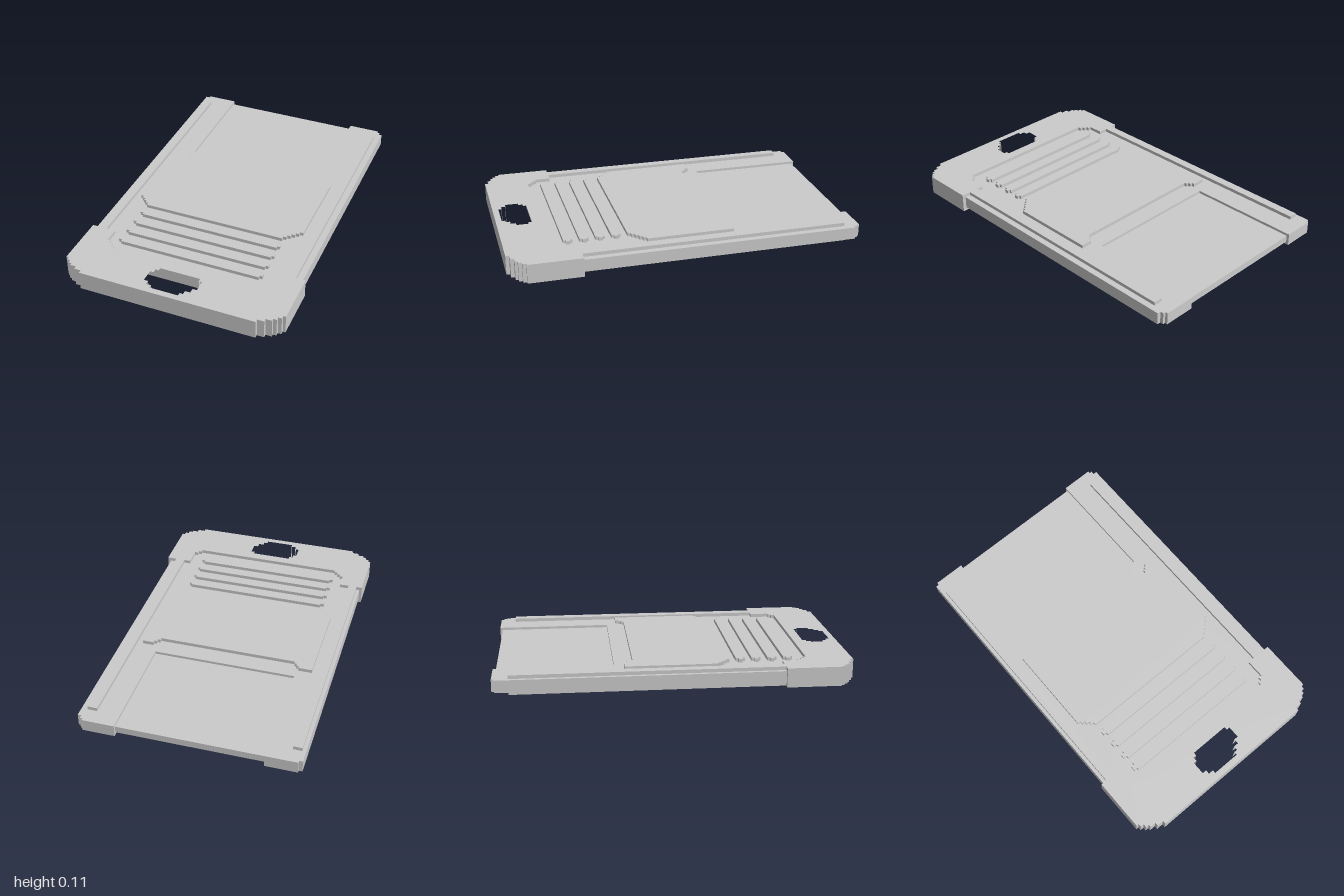
import * as THREE from 'three';

const material = new THREE.MeshStandardMaterial({ color: 0xcccccc, flatShading: true });

// joins [x, z] points with right-angled steps, moving in x first
function stairs(points) {
  const out = [points[0]];
  for (let i = 1; i < points.length; i++) {
    const [px, pz] = points[i - 1], [x, z] = points[i];
    if (px !== x && pz !== z) out.push([x, pz]);
    out.push([x, z]);
  }
  return out;
}

// evenly spaced points on a slanted corner
function slant(a, b, n) {
  return Array.from({ length: n + 1 }, (_, i) => [
    a[0] + (b[0] - a[0]) * i / n, a[1] + (b[1] - a[1]) * i / n]);
}

const toVectors = (points) => points.map(([x, z]) => new THREE.Vector2(x, -z));

// flat plate from a plan outline, between two heights
function plate(name, outline, y0, y1, hole) {
  const shape = new THREE.Shape(toVectors(outline));
  if (hole) shape.holes.push(new THREE.Path(toVectors(hole)));
  const geometry = new THREE.ExtrudeGeometry(shape, { depth: y1 - y0, bevelEnabled: false });
  geometry.rotateX(-Math.PI / 2);
  geometry.translate(0, y0, 0);
  const mesh = new THREE.Mesh(geometry, material);
  mesh.name = name;
  return mesh;
}

const rect = (x0, x1, z0, z1) => [[x0, z0], [x1, z0], [x1, z1], [x0, z1]];

export function createModel() {
  const group = new THREE.Group();
  group.name = 'flatCase';
  const TOP = 0.11;

  // core plate with an open window at the back
  group.add(plate('corePlate', [
    [-0.425, -1], [-0.425, -0.335], [0.4, -0.335], [0.4, -1],
    [0.585, -1], [0.585, -0.985], [0.6, -0.985], [0.6, -0.965], [0.62, -0.965],
    [0.62, 0.65], [0.52, 0.78], [-0.52, 0.78], [-0.625, 0.65],
    [-0.625, -0.985], [-0.605, -0.985], [-0.605, -1],
  ], 0.02, 0.09));

  // thin floor set in the window
  group.add(plate('windowFloor', rect(-0.44, 0.415, -0.985, -0.32), 0.035, 0.075));

  // handle with stepped corners, a notch and a strap hole
  const corner = [[0.64, 0.905], [0.625, 0.925], [0.605, 0.945], [0.585, 0.96], [0.55, 0.98], [0.51, 1]];
  const left = stairs(corner);
  const right = left.map(([x, z]) => [-x, z]).reverse();
  const handle = [
    [0.64, 0.6], ...left, ...right, [-0.64, 0.6], [-0.5, 0.6],
    ...stairs(slant([-0.5, 0.69], [-0.44, 0.745], 3)),
    ...stairs(slant([0.43, 0.745], [0.49, 0.69], 3)),
    [0.49, 0.6],
  ];
  const hole = stairs([
    [-0.12, 0.8], [0.1, 0.8], [0.115, 0.82], [0.135, 0.845], [0.135, 0.89],
    [0.11, 0.92], [0.08, 0.945], [0.06, 0.965], [-0.08, 0.965],
    [-0.105, 0.945], [-0.135, 0.92], [-0.16, 0.89], [-0.16, 0.845],
    [-0.14, 0.82], [-0.12, 0.8],
  ]).slice(0, -1);
  group.add(plate('handle', handle, 0, TOP, hole));

  // long rails on both faces
  group.add(plate('rightRail', rect(-0.605, -0.555, -0.91, 0.61), 0, TOP));
  group.add(plate('leftRail', rect(0.53, 0.585, -0.91, 0.61), 0, TOP));

  // raised centre panel with stepped corners
  group.add(plate('centrePanel', [
    [-0.515, -0.28],
    ...stairs(slant([-0.45, -0.28], [-0.405, -0.23], 3)),
    ...stairs(slant([0.385, -0.23], [0.43, -0.28], 3)),
    [0.495, -0.28],
    ...stairs(slant([0.495, 0.22], [0.4, 0.31], 5)),
    ...stairs(slant([-0.425, 0.31], [-0.515, 0.22], 5)),
  ], 0, TOP));

  // grip ridges with small stepped ends
  for (let i = 0; i < 4; i++) {
    const z = 0.375 + i * 0.09, h = 0.026, s = 0.012;
    group.add(plate('gripRidge' + (i + 1), [
      [-0.425, z - h], [0.4, z - h], [0.4, z - s], [0.415, z - s],
      [0.415, z + s], [0.4, z + s], [0.4, z + h], [-0.425, z + h],
      [-0.425, z + s], [-0.445, z + s], [-0.445, z - s], [-0.425, z - s],
    ], 0, TOP));
  }
  return group;
}
